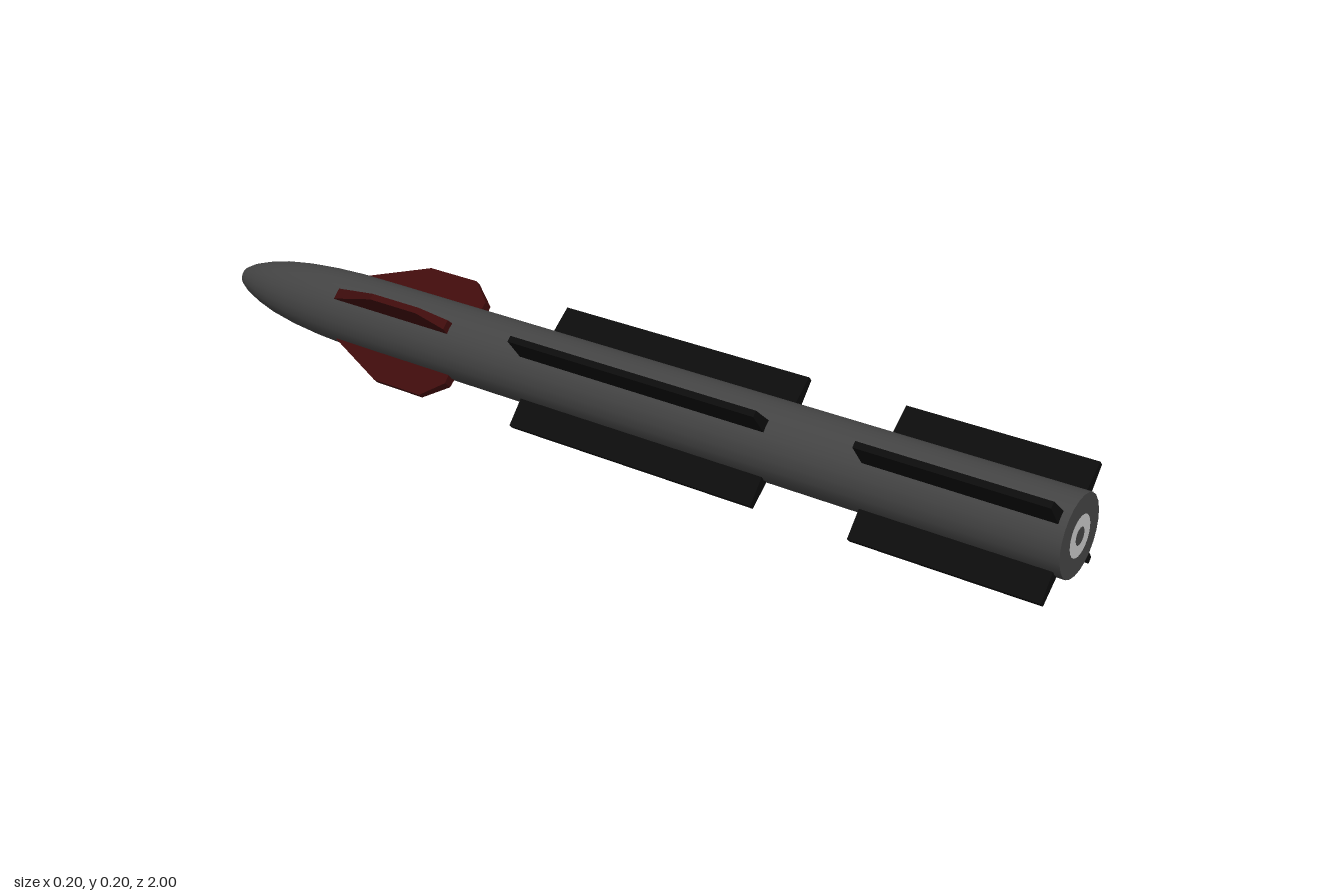
import * as THREE from 'three';

const AXIS_Y = 0.1, RADIUS = 0.0785, SIDES = 24;

const material = (name, color) => {
  const m = new THREE.MeshStandardMaterial({ color });
  m.name = name;
  return m;
};

// Fin from a [z, radius] outline, thicker at the root than at the tip
function finGeometry(outline) {
  const shape = new THREE.Shape(outline.map(([z, r]) => new THREE.Vector2(r, -z)));
  const geo = new THREE.ExtrudeGeometry(shape, { depth: 1, bevelEnabled: false });
  geo.translate(0, 0, -0.5);
  const p = geo.attributes.position;
  for (let i = 0; i < p.count; i++) {
    const t = (p.getX(i) - 0.06) / 0.08;
    p.setZ(i, p.getZ(i) * THREE.MathUtils.lerp(0.028, 0.012, t));
  }
  geo.rotateX(-Math.PI / 2);
  geo.computeVertexNormals();
  return geo;
}

export function createModel() {
  const bodyGrey = material('bodyGrey', 0x444444);
  const finBlack = material('finBlack', 0x0c0c0c);
  const finRed = material('finRed', 0x400c0c);
  const nozzleGrey = material('nozzleGrey', 0xc8c8c8);

  const model = new THREE.Group();
  model.name = 'missile';
  const add = (name, geo, mat, z = 0) => {
    const mesh = new THREE.Mesh(geo, mat);
    mesh.name = name;
    mesh.position.set(0, AXIS_Y, z);
    model.add(mesh);
    return mesh;
  };

  // Tube and rounded nose, pointing to -z
  const profile = [
    [RADIUS, -1], [RADIUS, 0.6], [0.078, 0.68], [0.075, 0.75], [0.069, 0.82],
    [0.06, 0.88], [0.048, 0.93], [0.035, 0.97], [0.021, 0.997]
  ].map(([r, y]) => new THREE.Vector2(r, y));
  add('body', new THREE.LatheGeometry(profile, SIDES).rotateX(-Math.PI / 2), bodyGrey);

  // Blunt nose tip
  const tip = [[0.021, 0.997], [0.017, 1], [0, 1]].map(([r, y]) => new THREE.Vector2(r, y));
  add('noseTip', new THREE.LatheGeometry(tip, SIDES).rotateX(-Math.PI / 2), bodyGrey);

  // Tail plate with the exhaust ring
  add('tailPlate', new THREE.CircleGeometry(RADIUS, SIDES), bodyGrey, 0.998);
  add('exhaustRing', new THREE.RingGeometry(0.017, 0.04, SIDES), nozzleGrey, 1);

  // Three sets of four diagonal fins
  const ROOT = 0.06, TIP = 0.1348;
  const plain = (z0, z1) => [[z1, ROOT], [z1, TIP], [z0, TIP], [z0, ROOT]];
  const sets = [
    ['tailFin', plain(0.61, 0.985), finBlack],
    ['middleFin', plain(-0.165, 0.405), finBlack],
    ['frontFin', [[-0.355, ROOT], [-0.355, 0.095], [-0.405, TIP], [-0.53, TIP], [-0.67, 0.078], [-0.67, ROOT]], finRed]
  ];
  for (const [name, outline, mat] of sets) {
    const geo = finGeometry(outline);
    // keep the outline facing outwards for either winding
    for (let k = 0; k < 4; k++) {
      add(name + (k + 1), geo, mat).rotation.z = Math.PI / 4 + k * Math.PI / 2;
    }
  }
  return model;
}
